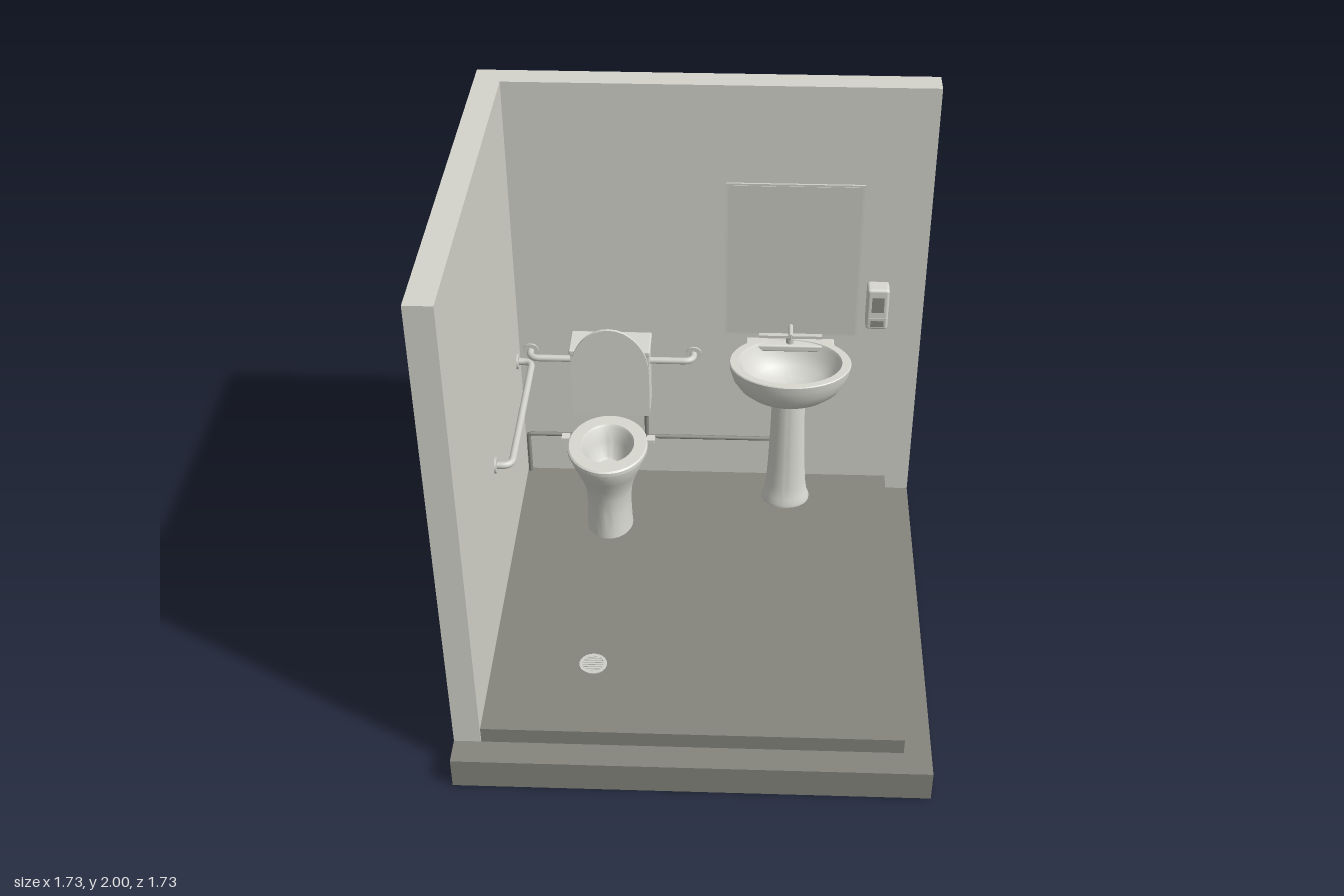
import * as THREE from 'three';
import { toCreasedNormals } from 'three/addons/utils/BufferGeometryUtils.js';
import { RoundedBoxGeometry } from 'three/addons/geometries/RoundedBoxGeometry.js';

const mat = (name, color) => {
  const m = new THREE.MeshStandardMaterial({ color });
  m.name = name;
  return m;
};

export function createModel() {
  const root = new THREE.Group();
  root.name = 'washroom';
  const wall = mat('wall paint', 0xd4d4cc);
  const floor = mat('floor grey', 0x85857e);
  const ceramic = mat('ceramic', 0xd8d8d1);
  const metal = mat('metal', 0xd0d0c9);
  const glass = mat('mirror glass', 0xcbcbc4);
  const dark = mat('dark grey', 0x8c8c86);

  const add = (name, geo, material, parent = root) => {
    const m = new THREE.Mesh(geo, material);
    m.name = name;
    parent.add(m);
    return m;
  };
  // Box given by its minimum and maximum on each axis
  const box = (name, x0, x1, y0, y1, z0, z1, material, round = 0) => {
    const s = [x1 - x0, y1 - y0, z1 - z0];
    const g = round ? new RoundedBoxGeometry(...s, 3, round) : new THREE.BoxGeometry(...s);
    const m = add(name, g, material);
    m.position.set((x0 + x1) / 2, (y0 + y1) / 2, (z0 + z1) / 2);
    return m;
  };
  // Turned form made oval by scaling its depth
  const oval = (name, profile, x, z, depth) => {
    const pts = profile.map(([r, y]) => new THREE.Vector2(r, y));
    const m = add(name, toCreasedNormals(new THREE.LatheGeometry(pts, 56), 0.6), ceramic);
    m.position.set(x, 0, z);
    m.scale.z = depth;
    return m;
  };
  const disc = (name, r, h, pos, axis, material) => {
    const m = add(name, new THREE.CylinderGeometry(r, r, h, 32), material);
    m.position.set(...pos);
    if (axis === 'x') m.rotation.z = Math.PI / 2;
    if (axis === 'z') m.rotation.x = Math.PI / 2;
    return m;
  };
  // Round bar through points, with rounded corners
  const bar = (name, points, r, bend, material) => {
    const p = points.map((a) => new THREE.Vector3(...a));
    const path = new THREE.CurvePath();
    let last = p[0];
    for (let i = 1; i < p.length - 1; i++) {
      const a = p[i].clone().add(p[i - 1].clone().sub(p[i]).setLength(bend));
      const b = p[i].clone().add(p[i + 1].clone().sub(p[i]).setLength(bend));
      path.add(new THREE.LineCurve3(last, a));
      path.add(new THREE.QuadraticBezierCurve3(a, p[i], b));
      last = b;
    }
    path.add(new THREE.LineCurve3(last, p[p.length - 1]));
    return add(name, new THREE.TubeGeometry(path, 120, r, 14), material);
  };

  // Room shell
  box('baseSlab', -0.865, 0.865, 0, 0.125, -0.865, 0.865, floor);
  box('raisedFloor', -0.765, 0.765, 0.125, 0.175, -0.765, 0.765, floor);
  box('floorFinish', -0.765, 0.765, 0.175, 0.19, -0.765, 0.765, floor);
  box('backWall', -0.865, 0.865, 0.125, 2, -0.865, -0.765, wall);
  box('leftWall', -0.865, -0.767, 0.125, 2, -0.765, 0.765, wall);

  // Toilet: outer pan, rim and inner bowl in one profile
  const tx = -0.385;
  oval('toiletPan', [
    [0, 0.19], [0.094, 0.19], [0.092, 0.22], [0.089, 0.3], [0.093, 0.38], [0.108, 0.44],
    [0.13, 0.495], [0.148, 0.54], [0.153, 0.572], [0.161, 0.575], [0.161, 0.59], [0.155, 0.595],
    [0.107, 0.595], [0.1, 0.585], [0.085, 0.53], [0.065, 0.47], [0.058, 0.46], [0, 0.455],
  ], tx, -0.42, 1.2);
  for (const s of [-1, 1]) {
    box('seatKnob', tx + s * 0.172 - 0.016, tx + s * 0.172 + 0.016, 0.58, 0.595, -0.482, -0.445, ceramic);
  }
  box('cistern', tx - 0.158, tx + 0.158, 0.585, 0.88, -0.765, -0.622, ceramic);
  box('cisternLid', tx - 0.163, tx + 0.163, 0.88, 0.905, -0.765, -0.618, ceramic, 0.006);
  disc('flushButton', 0.02, 0.01, [tx, 0.908, -0.695], 'y', metal);
  const lid = disc('raisedLid', 0.158, 0.012, [tx, 0.81, -0.611], 'z', ceramic);
  lid.scale.z = 0.203 / 0.158;

  // Washbasin
  const sx = 0.338;
  oval('basin', [
    [0, 0.735], [0.095, 0.735], [0.125, 0.747], [0.165, 0.77], [0.2, 0.8], [0.226, 0.84],
    [0.238, 0.88], [0.242, 0.908], [0.238, 0.912], [0.206, 0.912], [0.198, 0.9],
    [0.18, 0.86], [0.14, 0.82], [0.08, 0.795], [0, 0.785],
  ], sx, -0.565, 0.755);
  oval('basinPedestal', [
    [0, 0.19], [0.099, 0.19], [0.099, 0.203], [0.09, 0.225], [0.082, 0.28],
    [0.076, 0.38], [0.07, 0.55], [0.066, 0.75],
  ], sx, -0.615, 0.84);
  box('basinDeck', sx - 0.178, sx + 0.178, 0.878, 0.908, -0.742, -0.68, ceramic, 0.008);
  box('basinBracket', sx - 0.125, sx + 0.125, 0.878, 0.9, -0.765, -0.7, ceramic);
  disc('basinDrain', 0.016, 0.008, [sx, 0.789, -0.565], 'y', metal);

  // Tap
  box('tapShelf', sx - 0.126, sx + 0.126, 0.953, 0.965, -0.765, -0.665, metal);
  disc('tapPost', 0.016, 0.1, [sx, 0.95, -0.707], 'y', metal);
  disc('tapSpout', 0.009, 0.1, [sx, 1.0, -0.657], 'z', metal);
  disc('tapNozzle', 0.007, 0.02, [sx, 0.995, -0.613], 'y', metal);

  // Mirror
  box('mirrorFrame', 0.075, 0.6, 0.957, 1.635, -0.695, -0.687, metal);
  box('mirrorGlass', 0.083, 0.592, 0.965, 1.627, -0.688, -0.685, glass);

  // Soap dispenser
  box('dispenser', 0.635, 0.722, 0.985, 1.17, -0.766, -0.692, ceramic, 0.012);
  box('dispenserWindow', 0.655, 0.703, 1.067, 1.135, -0.695, -0.689, dark);
  box('dispenserSlot', 0.645, 0.713, 0.998, 1.042, -0.695, -0.689, glass);
  box('dispenserOutlet', 0.653, 0.705, 1.003, 1.03, -0.692, -0.687, dark);

  // Grab bars with wall flanges
  const gy = 0.805;
  bar('sideGrabBar', [[-0.765, gy, -0.68], [-0.705, gy, -0.68], [-0.705, gy, 0.005], [-0.765, gy, 0.005]], 0.014, 0.04, metal);
  bar('backGrabBar', [[-0.72, gy, -0.765], [-0.72, gy, -0.708], [-0.052, gy, -0.708], [-0.052, gy, -0.765]], 0.014, 0.04, metal);
  for (const z of [-0.68, 0.005]) disc('sideFlange', 0.032, 0.008, [-0.763, gy, z], 'x', metal);
  for (const x of [-0.72, -0.052]) disc('backFlange', 0.032, 0.008, [x, gy, -0.761], 'z', metal);

  // Water pipes along the back wall
  const pz = -0.75;
  bar('supplyPipe', [[-0.753, 0.19, pz], [-0.753, 0.387, pz], [sx, 0.387, pz]], 0.009, 0.012, dark);
  bar('cisternPipe', [[-0.25, 0.387, pz], [-0.25, 0.51, pz], [-0.25, 0.51, -0.725], [-0.25, 0.59, -0.725]], 0.009, 0.01, dark);
  bar('basinPipe', [[sx, 0.19, pz], [sx, 0.74, pz], [sx, 0.76, -0.65]], 0.009, 0.012, dark);

  // Floor drain: ring with slats
  const ring = new THREE.Shape().absarc(0, 0, 0.052, 0, Math.PI * 2);
  ring.holes.push(new THREE.Path().absarc(0, 0, 0.04, 0, Math.PI * 2, true));
  const drain = add('drainRing', new THREE.ExtrudeGeometry(ring, { depth: 0.004, bevelEnabled: false, curveSegments: 24 }), metal);
  drain.rotation.x = -Math.PI / 2;
  drain.position.set(tx, 0.19, 0.42);
  for (let i = -3; i <= 3; i++) {
    const z = i * 0.0115;
    const w = Math.sqrt(0.042 ** 2 - z * z);
    box('drainSlat', tx - w, tx + w, 0.189, 0.1935, 0.42 + z - 0.004, 0.42 + z + 0.004, metal);
  }
  return root;
}
